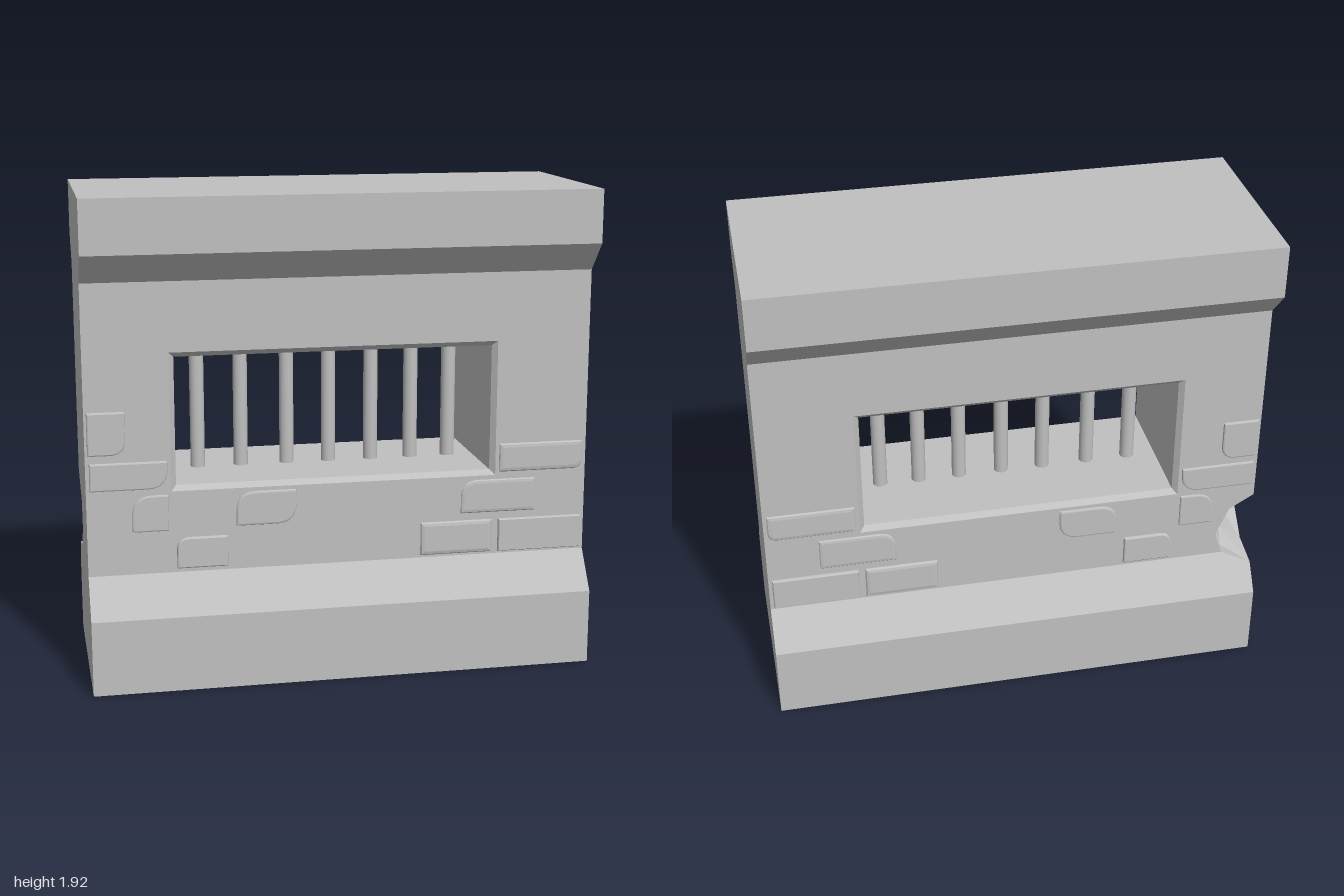
import * as THREE from 'three';

const v = (x, y, z) => new THREE.Vector3(x, y, z);

// Collects flat faces; each is wound to face along a given outward direction.
class FaceBuilder {
  constructor() { this.pos = []; }
  tri(a, b, c, out) {
    const n = b.clone().sub(a).cross(c.clone().sub(a));
    const order = n.dot(out) < 0 ? [a, c, b] : [a, b, c];
    order.forEach((p) => this.pos.push(p.x, p.y, p.z));
  }
  polygon(pts, out, hole = []) {
    const ax = [Math.abs(out.x), Math.abs(out.y), Math.abs(out.z)];
    const flat = (p) => (ax[0] > 0.9 ? new THREE.Vector2(p.z, p.y)
      : ax[1] > 0.9 ? new THREE.Vector2(p.x, p.z) : new THREE.Vector2(p.x, p.y));
    const all = [...pts, ...hole];
    const holes = hole.length ? [hole.map(flat)] : [];
    for (const [a, b, c] of THREE.ShapeUtils.triangulateShape(pts.map(flat), holes)) {
      this.tri(all[a], all[b], all[c], out);
    }
  }
  geometry() {
    const g = new THREE.BufferGeometry();
    g.setAttribute('position', new THREE.Float32BufferAttribute(this.pos, 3));
    g.computeVertexNormals();
    return g;
  }
}

// Rectangular opening at a given depth, grown outward by g
const opening = (z, g) => [
  v(-0.652 - g, 0.797 - g, z), v(0.605 + g, 0.797 - g, z),
  v(0.605 + g, 1.302 + g, z), v(-0.652 - g, 1.302 + g, z),
];

// Brick outline with chosen rounded corners: tl (top left) and br (bottom right)
function brickShape(x0, y0, x1, y1, tl, br) {
  const s = new THREE.Shape();
  s.moveTo(x0, y0);
  s.lineTo(x1 - br, y0);
  if (br) s.quadraticCurveTo(x1, y0, x1, y0 + br);
  s.lineTo(x1, y1);
  s.lineTo(x0 + tl, y1);
  if (tl) s.quadraticCurveTo(x0, y1, x0, y1 - tl);
  s.closePath();
  return s;
}

export function createModel() {
  const stone = new THREE.MeshStandardMaterial({ color: 0xc0c0c0 });
  stone.name = 'grey stone';
  const model = new THREE.Group();
  model.name = 'barredWindowWall';
  const add = (parent, name, geo) => {
    const m = new THREE.Mesh(geo, stone);
    m.name = name;
    parent.add(m);
    return m;
  };

  // Side profile as [depth, height]
  const D = 0.403, W = 0.295;
  const profile = [[D, 0], [D, 0.3], [W, 0.45], [W, 1.595], [D, 1.71], [D, 1.92]];
  const front = (x) => profile.map(([z, y]) => v(x, y, z));
  const back = (x) => profile.map(([z, y]) => v(x, y, -z)).reverse();

  // Rim of the broken corner: first across the end face, then across the back
  const endRim = [
    v(-1, 0.73, -W), v(-1, 0.65, -0.1), v(-1, 0.54, -0.08), v(-1, 0.43, -0.19), v(-1, 0.405, -0.327),
  ];
  const backRim = [v(-0.88, 0.45, -W), v(-0.85, 0.55, -W), v(-0.9, 0.67, -W)];

  // Wall body
  const wall = new FaceBuilder();
  const backEnd = back(-1);
  wall.polygon([...front(1), ...back(1)], v(1, 0, 0));
  wall.polygon([...front(-1), ...backEnd.slice(0, 3), ...endRim, ...backEnd.slice(4)], v(-1, 0, 0));
  for (const [y, dir] of [[0, -1], [1.92, 1]]) {
    wall.polygon([v(-1, y, D), v(1, y, D), v(1, y, -D), v(-1, y, -D)], v(0, dir, 0));
  }
  for (const side of [1, -1]) {
    for (let i = 0; i < 5; i++) {
      const [z0, y0] = profile[i], [z1, y1] = profile[i + 1];
      let pts = [v(-1, y0, z0 * side), v(1, y0, z0 * side), v(1, y1, z1 * side), v(-1, y1, z1 * side)];
      if (side < 0 && i === 1) pts = [...pts.slice(0, 3), backRim[0], endRim[4]];
      if (side < 0 && i === 2) pts = [...pts.slice(1), endRim[0], ...backRim.slice().reverse()];
      wall.polygon(pts, v(0, 0, side), i === 2 ? opening(W * side, 0.02) : []);
    }
  }
  add(model, 'wallBody', wall.geometry());

  // Window lining with a chamfer on both sides
  const lining = new FaceBuilder();
  const rings = [opening(W, 0.02), opening(W - 0.02, 0), opening(0.02 - W, 0), opening(-W, 0.02)];
  const inward = [v(0, 1, 0), v(-1, 0, 0), v(0, -1, 0), v(1, 0, 0)];
  for (let r = 0; r < 3; r++) {
    for (let i = 0; i < 4; i++) {
      const j = (i + 1) % 4, a = rings[r], b = rings[r + 1];
      lining.tri(a[i], a[j], b[j], inward[i]);
      lining.tri(a[i], b[j], b[i], inward[i]);
    }
  }
  add(model, 'windowLining', lining.geometry());

  // Faceted hollow of the broken corner
  const chip = new FaceBuilder();
  const centre = v(-1, 0.57, -0.25), radius = 0.17;
  const onBall = (p) => p.sub(centre).setLength(radius).add(centre);
  const apex = onBall(centre.clone().add(v(1, -0.1, 0.8)));
  const rim = [...endRim, ...backRim];
  const mid = rim.map((p) => onBall(p.clone().lerp(apex, 0.5)));
  const hollow = (a, b, c) => chip.tri(a, b, c, centre.clone().sub(a.clone().add(b).add(c).divideScalar(3)));
  rim.forEach((p, i) => {
    const j = (i + 1) % rim.length;
    hollow(p, rim[j], mid[i]);
    hollow(rim[j], mid[j], mid[i]);
    hollow(mid[i], mid[j], apex);
  });
  add(model, 'brokenCorner', chip.geometry());

  // Window bars
  const bars = new THREE.Group();
  bars.name = 'windowBars';
  const barGeo = new THREE.CylinderGeometry(0.029, 0.029, 0.505, 20, 1, true);
  for (const x of [-0.535, -0.36, -0.172, 0, 0.176, 0.343, 0.502]) {
    add(bars, 'bar', barGeo).position.set(x, 1.0495, 0);
  }
  model.add(bars);

  // Raised bricks: x0, y0, x1, y1, top-left radius, bottom-right radius, bevel, height
  const bricks = [
    [-0.99, 0.93, -0.845, 1.1, 0, 0.06, 0.006, 0.01],
    [-0.985, 0.79, -0.685, 0.9, 0, 0.08, 0.006, 0.009],
    [-0.825, 0.62, -0.685, 0.765, 0.08, 0, 0.006, 0.008],
    [-0.42, 0.625, -0.182, 0.762, 0.08, 0.08, 0.008, 0.008],
    [-0.655, 0.465, -0.455, 0.59, 0.05, 0, 0.006, 0.012],
    [0.32, 0.46, 0.613, 0.595, 0, 0, 0.016, 0.012],
    [0.64, 0.46, 0.985, 0.595, 0, 0, 0.004, 0.014],
    [0.485, 0.625, 0.79, 0.76, 0.07, 0, 0.014, 0.008],
    [0.64, 0.79, 0.985, 0.905, 0, 0.04, 0.016, 0.009],
  ];
  for (const side of [1, -1]) {
    const group = new THREE.Group();
    group.name = side > 0 ? 'frontBricks' : 'backBricks';
    for (const [x0, y0, x1, y1, tl, br, bevel, h] of bricks) {
      const geo = new THREE.ExtrudeGeometry(brickShape(x0, y0, x1, y1, tl, br), {
        depth: 0.01, bevelThickness: h * 0.8, bevelSize: bevel, bevelOffset: -bevel,
        bevelSegments: 2, curveSegments: 8,
      });
      geo.translate(0, 0, W + h * 0.2 - 0.01);
      const brick = add(group, 'brick', geo);
      brick.scale.z = side;
    }
    model.add(group);
  }
  return model;
}
